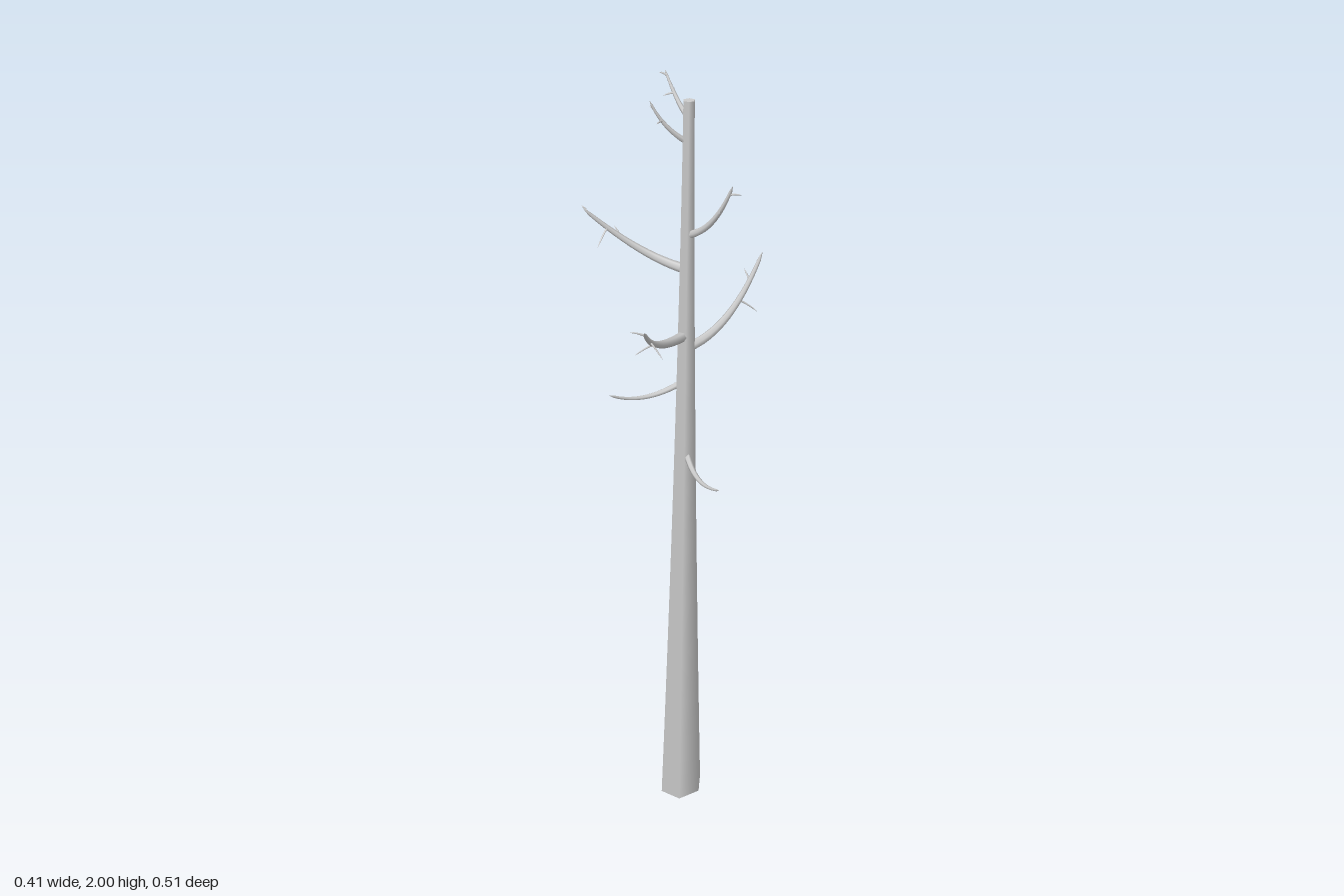
import * as THREE from 'three';

const material = new THREE.MeshStandardMaterial({ color: 0xcccccc, side: THREE.DoubleSide });
const HEIGHT = 1.96;

// The trunk leans slightly backwards
const trunkAxis = y => new THREE.Vector3(0.037, y, -0.021 - 0.014 * y / HEIGHT);

// Six-sided trunk: a unit cylinder reshaped with a flared foot
function makeTrunk() {
  const g = new THREE.CylinderGeometry(1, 1, HEIGHT, 6, 12, false, Math.PI / 6);
  g.translate(0, HEIGHT / 2, 0);
  const p = g.attributes.position;
  for (let i = 0; i < p.count; i++) {
    const t = p.getY(i) / HEIGHT;
    const r = 0.014 + 0.044 * Math.pow(Math.max(0, 1 - t), 1.35);
    const axis = trunkAxis(p.getY(i));
    p.setX(i, axis.x + p.getX(i) * r);
    p.setZ(i, axis.z + p.getZ(i) * r * (1.12 - 0.1 * t));
  }
  const mesh = new THREE.Mesh(g, material);
  mesh.name = 'trunk';
  return mesh;
}

// Tube along a curve, narrowing from r0 to r1 and closing in a point
function taperedTube(name, curve, r0, r1, segments, sides) {
  const g = new THREE.TubeGeometry(curve, segments, 1, sides, false);
  const p = g.attributes.position;
  const v = new THREE.Vector3();
  for (let i = 0; i <= segments; i++) {
    const centre = curve.getPointAt(i / segments);
    const r = i === segments ? 0.0002 : r0 + (r1 - r0) * (i / segments);
    for (let j = 0; j <= sides; j++) {
      const k = i * (sides + 1) + j;
      v.fromBufferAttribute(p, k).sub(centre).multiplyScalar(r).add(centre);
      p.setXYZ(k, v.x, v.y, v.z);
    }
  }
  const mesh = new THREE.Mesh(g, material);
  mesh.name = name;
  return mesh;
}

// Twig leaving a limb at t, turned sideways by an angle, with a rise per length
function makeTwig(limb, radius, t, degrees, rise) {
  const start = limb.getPoint(t);
  const direction = limb.getTangent(t).setY(0).normalize()
    .applyAxisAngle(new THREE.Vector3(0, 1, 0), THREE.MathUtils.degToRad(degrees))
    .setY(rise);
  const length = (0.065 - 0.035 * t) * radius / 0.012;
  const end = start.clone().addScaledVector(direction, length);
  const bend = start.clone().lerp(end, 0.5);
  bend.y += 0.004;
  return taperedTube('twig', new THREE.QuadraticBezierCurve3(start, bend, end), 0.0028, 0.0012, 4, 5);
}

// Limb growing from the trunk axis at height y, pulled towards bend, ending at tip
function makeBranch(name, radius, y, bend, tip, twigs = []) {
  const limb = new THREE.QuadraticBezierCurve3(
    trunkAxis(y), new THREE.Vector3(...bend), new THREE.Vector3(...tip));
  const group = new THREE.Group();
  group.name = name;
  group.add(taperedTube('limb', limb, radius, radius * 0.3, 14, 6));
  for (const twig of twigs) group.add(makeTwig(limb, radius, ...twig));
  return group;
}

export function createModel() {
  const tree = new THREE.Group();
  tree.name = 'bareTree';
  tree.add(
    makeTrunk(),
    // Drooping lower branches
    makeBranch('lowRightBranch', 0.009, 1.1, [0.092, 0.024 + 0.996, 0.024], [0.2, 1.08, 0.082]),
    makeBranch('lowLeftBranch', 0.009, 1.28, [-0.046, 1.21, 0.026], [-0.085, 1.27, 0.118]),
    // Long middle branches
    makeBranch('backBranch', 0.013, 1.365, [0.093, 1.375, -0.145], [0.11, 1.545, -0.26],
      [[0.8, 62, 0.4], [0.65, -42, -0.7]]),
    makeBranch('frontBranch', 0.013, 1.4, [0.033, 1.405, 0.114], [0.097, 1.53, 0.243],
      [[0.62, -58, -0.5], [0.76, 56, -0.7], [0.94, -75, 0.3]]),
    makeBranch('longLeftBranch', 0.012, 1.565, [-0.084, 1.57, -0.028], [-0.19, 1.695, 0.055],
      [[0.67, -62, 0.3], [0.79, 55, -1], [0.96, -65, 0.2]]),
    // Short upper branches
    makeBranch('highRightBranch', 0.01, 1.65, [0.12, 1.68, -0.011], [0.162, 1.795, -0.016],
      [[0.68, -60, 0.2], [0.9, 15, 0.1]]),
    makeBranch('upperLeftBranch', 0.007, 1.865, [-0.005, 1.9, 0.006], [-0.032, 1.96, 0.016],
      [[0.6, 60, 0], [0.8, -50, 0.3]]),
    makeBranch('topBranch', 0.007, 1.922, [-0.01, 1.925, -0.07], [-0.066, 1.995, -0.1],
      [[0.65, 58, -0.3], [0.68, -30, 0], [0.92, 45, 0.3]]),
  );
  return tree;
}
